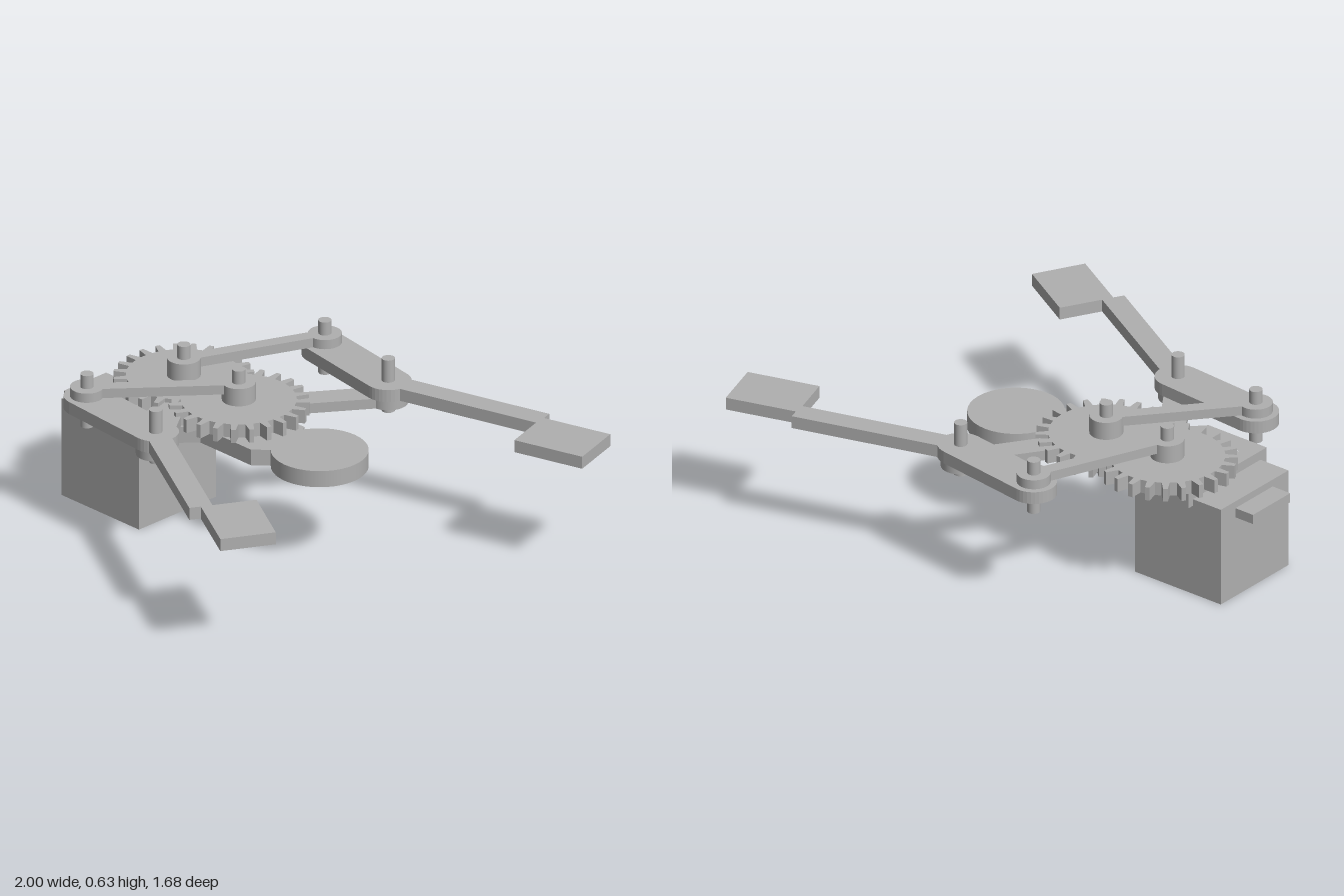
import * as THREE from 'three';

export function createModel() {
  const model = new THREE.Group();
  model.name = 'roboticGripper';
  const grey = new THREE.MeshStandardMaterial({ color: 0xb0b0b0 });
  grey.name = 'plain grey';

  function add(name, geometry, parent = model) {
    const mesh = new THREE.Mesh(geometry, grey);
    mesh.name = name;
    parent.add(mesh);
    return mesh;
  }
  function group(name) {
    const g = new THREE.Group();
    g.name = name;
    model.add(g);
    return g;
  }
  // Flat plate from plan points [x, z], between two heights, with round holes [x, z, r]
  function plate(name, points, y0, y1, parent, holes = []) {
    const shape = new THREE.Shape(points.map(([x, z]) => new THREE.Vector2(x, -z)));
    for (const [x, z, r] of holes) {
      const hole = new THREE.Path();
      hole.absarc(x, -z, r, 0, Math.PI * 2, true);
      shape.holes.push(hole);
    }
    const geo = new THREE.ExtrudeGeometry(shape, { depth: y1 - y0, bevelEnabled: false, curveSegments: 20 });
    geo.rotateX(-Math.PI / 2).translate(0, y0, 0);
    return add(name, geo, parent);
  }
  function disc(name, [x, z], r, y0, y1, parent) {
    return add(name, new THREE.CylinderGeometry(r, r, y1 - y0, 40).translate(x, (y0 + y1) / 2, z), parent);
  }
  function box(name, x0, x1, y0, y1, z0, z1, parent) {
    const geo = new THREE.BoxGeometry(x1 - x0, y1 - y0, z1 - z0);
    return add(name, geo.translate((x0 + x1) / 2, (y0 + y1) / 2, (z0 + z1) / 2), parent);
  }
  // Straight bar between two plan points
  function bar(name, a, b, half, y0, y1, parent) {
    const dx = b[0] - a[0], dz = b[1] - a[1], l = Math.hypot(dx, dz);
    const nx = (-dz / l) * half, nz = (dx / l) * half;
    return plate(name, [[a[0] + nx, a[1] + nz], [b[0] + nx, b[1] + nz],
      [b[0] - nx, b[1] - nz], [a[0] - nx, a[1] - nz]], y0, y1, parent);
  }
  // Round-ended plate between two plan points
  function capsule(name, a, b, r, y0, y1, parent) {
    const angle = Math.atan2(b[1] - a[1], b[0] - a[0]);
    const pts = [];
    for (const [c, start] of [[b, angle - Math.PI / 2], [a, angle + Math.PI / 2]]) {
      for (let i = 0; i <= 18; i++) {
        const t = start + (i / 18) * Math.PI;
        pts.push([c[0] + r * Math.cos(t), c[1] + r * Math.sin(t)]);
      }
    }
    return plate(name, pts, y0, y1, parent);
  }

  // Servo with mounting tabs and two round bosses
  const servo = group('servo');
  box('servoBody', -0.915, -0.5, 0, 0.403, -0.175, 0.228, servo);
  box('servoTabs', -1, -0.42, 0.335, 0.374, -0.088, 0.134, servo);

  // Base plate and round mounting pad
  const base = group('base');
  plate('basePlate', [[-0.78, -0.2], [-0.05, -0.2], [0.02, -0.1], [0.01, 0.02], [-0.05, 0.08],
    [-0.32, 0.08], [-0.5, 0.265], [-0.78, 0.265]], 0.375, 0.44, base,
  [[-0.705, 0.115, 0.062]]);
  disc('mountingPad', [0.132, -0.103], 0.184, 0.374, 0.441, base);

  // Two toothed gears
  function gear(name, [cx, cz], turn, parent) {
    const teeth = 24, step = (Math.PI * 2) / teeth, pts = [];
    const profile = [[-0.27, 0.218], [-0.13, 0.266], [0.13, 0.266], [0.27, 0.218]];
    for (let i = 0; i < teeth; i++) {
      for (const [f, r] of profile) {
        const t = (i + turn + f) * step;
        pts.push([cx + r * Math.cos(t), cz + r * Math.sin(t)]);
      }
    }
    plate(name, pts, 0.445, 0.5, parent);
  }

  // Each side: gear arm, link and finger, all hinged on pins
  const sides = [
    { name: 'right', gear: [-0.305, -0.105], link: [-0.6, -0.105], knuckle: [0.02, -0.572],
      heel: [-0.38, -0.63], armEnd: [0.663, -0.758], turn: 0.25,
      pad: [[0.935, -0.843], [1, -0.632], [0.72, -0.55], [0.655, -0.76]] },
    { name: 'left', gear: [-0.6, -0.105], link: [-0.305, -0.105], knuckle: [-0.275, 0.36],
      heel: [-0.675, 0.33], armEnd: [0.306, 0.69], turn: 0.5,
      pad: [[0.41, 0.5], [0.66, 0.643], [0.557, 0.833], [0.305, 0.69]] },
  ];
  for (const s of sides) {
    const drive = group(s.name + 'GearArm');
    gear('gear', s.gear, s.turn, drive);
    bar('gearArm', s.gear, s.knuckle, 0.05, 0.443, 0.484, drive);
    disc('gearArmEnd', s.knuckle, 0.075, 0.443, 0.484, drive);

    const link = group(s.name + 'Link');
    bar('linkBar', s.link, s.heel, 0.027, 0.534, 0.572, link);
    disc('linkHub', s.link, 0.064, 0.5, 0.572, link);
    disc('linkEnd', s.heel, 0.064, 0.534, 0.572, link);

    const finger = group(s.name + 'Finger');
    capsule('fingerRoot', s.heel, s.knuckle, 0.088, 0.484, 0.534, finger);
    bar('fingerArm', s.knuckle, s.armEnd, 0.045, 0.484, 0.534, finger);
    plate('gripPad', s.pad, 0.484, 0.534, finger);

    const pins = group(s.name + 'Pins');
    for (const p of [s.gear, s.knuckle, s.heel]) disc('pin', p, 0.025, 0.408, 0.626, pins);
  }
  return model;
}
